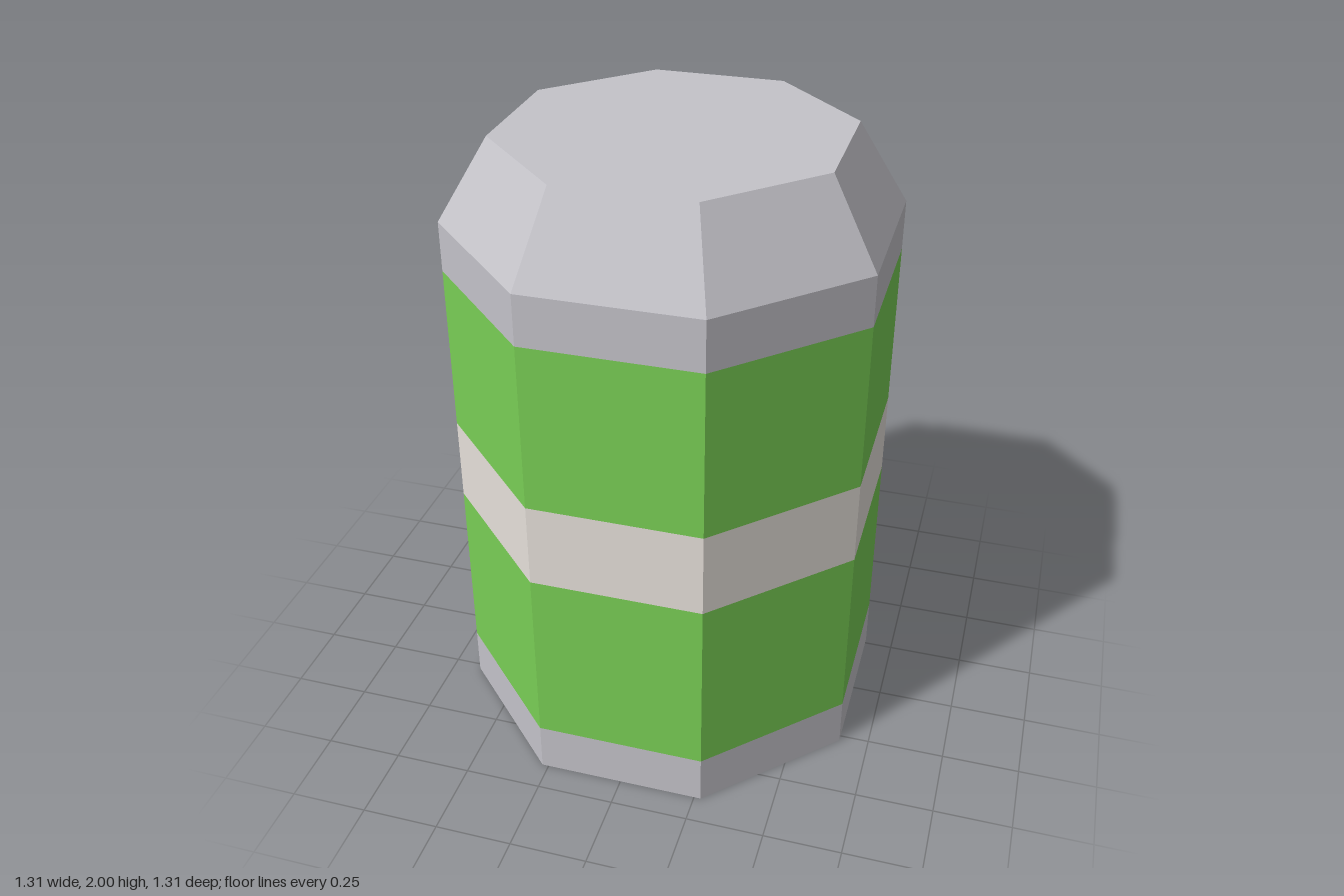
import * as THREE from 'three';

const SIDES = 8;
const R = 0.709;      // corner radius of the body
const R_TOP = 0.549;  // corner radius of the flat top

const material = (name, color) => {
  const m = new THREE.MeshStandardMaterial({ color });
  m.name = name;
  return m;
};

// Faceted octagonal ring or cap turned from a [radius, height] profile
function facetedPart(name, profile, mat) {
  const points = profile.map(([r, y]) => new THREE.Vector2(r, y));
  const geometry = new THREE.LatheGeometry(points, SIDES, Math.PI / SIDES).toNonIndexed();
  geometry.computeVertexNormals();
  const mesh = new THREE.Mesh(geometry, mat);
  mesh.name = name;
  return mesh;
}

export function createModel() {
  const metal = material('grey metal', 0xc4c3c9);
  const green = material('green label', 0x79ce55);
  const cream = material('cream stripe', 0xe6e0da);

  const model = new THREE.Group();
  model.name = 'can';

  model.add(
    // Closed metal base
    facetedPart('base', [[0, 0], [R, 0], [R, 0.165]], metal),
    // Label bands around the body
    facetedPart('lowerLabel', [[R, 0.165], [R, 0.765]], green),
    facetedPart('middleStripe', [[R, 0.765], [R, 1.04]], cream),
    facetedPart('upperLabel', [[R, 1.04], [R, 1.58]], green),
    // Metal rim, sloped shoulder and flat lid
    facetedPart('lid', [[R, 1.58], [R, 1.74], [R_TOP, 2], [0, 2]], metal),
  );
  return model;
}
